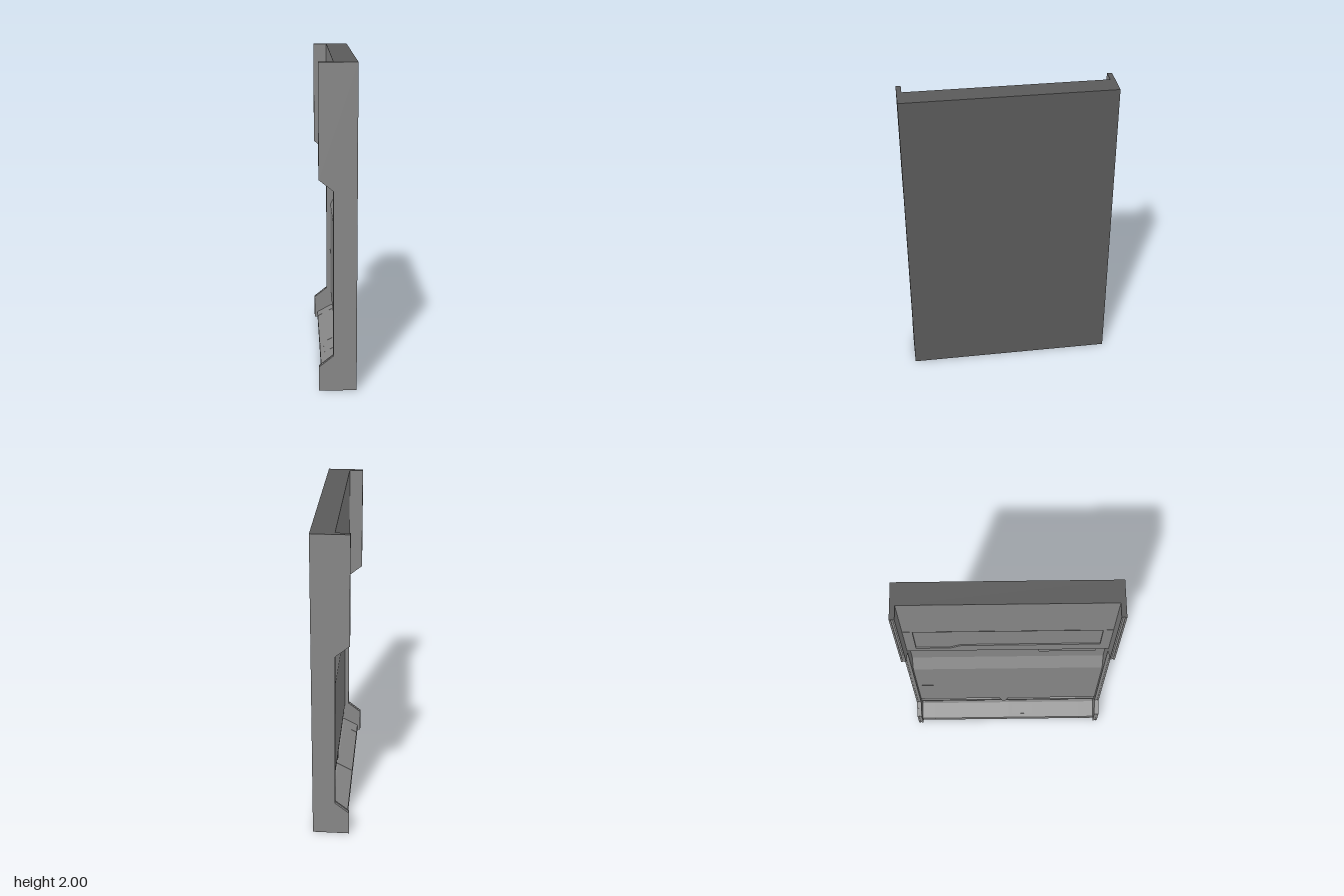
import * as THREE from 'three';

const BACK = 0.114, HALF = 0.661, INNER = 0.63;
const SKIN = 0.002, CORE = BACK - SKIN, TOP = 2 - SKIN;
const FRONT = -0.115, WAIST = -0.028, GROOVE = 0.003;

export function createModel() {
  const group = new THREE.Group();
  const panelGrey = new THREE.MeshStandardMaterial({ color: 0x878787, flatShading: true });
  const shellGrey = new THREE.MeshStandardMaterial({ color: 0x5b5b5b, flatShading: true });

  const vectors = (points) => points.map(([a, b]) => new THREE.Vector2(a, b));
  const shapeOf = (points) => new THREE.Shape(vectors(points));
  const extrude = (shape, depth) => new THREE.ExtrudeGeometry(shape, { depth, bevelEnabled: false });

  function add(name, geometry, material = panelGrey) {
    const mesh = new THREE.Mesh(geometry, material);
    mesh.name = name;
    group.add(mesh);
  }

  // Side profile (x, y) swept along z
  function sweep(name, points, z0, z1) {
    add(name, extrude(shapeOf(points), z1 - z0).translate(0, 0, z0));
  }

  // Face outline (z, y) raised from x toward the room (-x)
  function plate(name, shape, x, thickness) {
    add(name, extrude(shape, thickness).rotateY(-Math.PI / 2).translate(x, 0, 0));
  }

  // Dark end slab: plan outline with both grooved cheeks and a set-back middle
  function slab(name, middleX, y) {
    const half = [[BACK, HALF], [FRONT, HALF], [FRONT, 0.65], [FRONT + GROOVE, 0.65],
      [FRONT + GROOVE, 0.64], [FRONT, 0.64], [FRONT, INNER], [middleX, INNER]];
    const mirrored = half.map(([x, z]) => [x, -z]).reverse();
    add(name, extrude(shapeOf([...half, ...mirrored]), SKIN).rotateX(-Math.PI / 2).translate(0, y, 0), shellGrey);
  }

  // Dark outer shell: back sheet, top and bottom
  add('backSheet', new THREE.BoxGeometry(SKIN, TOP - SKIN, 2 * HALF).translate(BACK - SKIN / 2, 1, 0), shellGrey);
  slab('topSlab', WAIST, TOP);
  slab('bottomSlab', -0.095, 0);

  // Main wall: head board, waist recess, sloped sill, lower panel and toe channel
  sweep('wallBody', [
    [CORE, SKIN], [CORE, TOP], [WAIST, TOP], [WAIST, 1.6], [-0.02, 1.6], [-0.02, 1.28],
    [0.05, 1.224], [0.05, 0.952], [0, 0.856], [0, 0.216], [0.022, 0.205], [0.022, SKIN],
  ], -INNER, INNER);

  // End frames: cheeks with a shallow groove running along their edge
  const cheek = (inset) => {
    const f = FRONT + inset, w = WAIST + inset;
    return [[CORE, SKIN], [CORE, TOP], [f, TOP], [f, 1.32], [w, 1.25], [w, 0.225], [f, 0.155], [f, SKIN]];
  };
  for (const side of [-1, 1]) {
    for (const [a, b, inset] of [[INNER, 0.64, 0], [0.64, 0.65, GROOVE], [0.65, HALF, 0]]) {
      sweep(side > 0 ? 'leftFrame' : 'rightFrame', cheek(inset),
        Math.min(side * a, side * b), Math.max(side * a, side * b));
    }
  }

  // Overhead cover with a stepped opening
  const cover = shapeOf([[-INNER, 1.28], [INNER, 1.28], [INNER, 1.597], [-INNER, 1.597]]);
  cover.holes.push(new THREE.Path(vectors([
    [-0.57, 1.325], [-0.357, 1.325], [-0.29, 1.364], [0.57, 1.364], [0.57, 1.59], [-0.57, 1.59],
  ])));
  plate('overheadCover', cover, -0.02, 0.008);

  // Rounded access hatch in the waist recess
  const hatch = new THREE.Shape();
  const [l, r, b, t, c] = [0.2, 0.572, 1.055, 1.21, 0.012];
  hatch.moveTo(l + c, b).lineTo(r - c, b).quadraticCurveTo(r, b, r, b + c)
    .lineTo(r, t - c).quadraticCurveTo(r, t, r - c, t)
    .lineTo(l + c, t).quadraticCurveTo(l, t, l, t - c)
    .lineTo(l, b + c).quadraticCurveTo(l, b, l + c, b);
  plate('accessHatch', hatch, 0.05, 0.006);

  // Kick base: core plus sloped cover segments separated by seams
  const base = (drop) => [[0.03, SKIN], [0.03, 0.094 - drop], [0.005, 0.094 - drop],
    [-0.095 + drop, 0.04 - drop], [-0.095 + drop, SKIN]];
  sweep('baseCore', base(0.003), -INNER, INNER);
  const seams = [-INNER, -0.54, 0.005, 0.525, INNER];
  for (let i = 0; i < seams.length - 1; i++) {
    sweep('baseCover', base(0), seams[i] + (i ? 0.001 : 0), seams[i + 1] - (i < 3 ? 0.001 : 0));
  }

  // Flush floor hatch lying on the base slope
  sweep('floorHatch', [[-0.07, 0.05], [-0.07, 0.0545], [-0.008, 0.088], [-0.008, 0.08]], 0.03, 0.18);

  // Rail inside the toe channel
  sweep('toeRail', [[0.03, 0.135], [0.03, 0.165], [0.008, 0.16], [0.008, 0.14]], -INNER, INNER);

  // Small latch at the foot of the lower panel and a finger grip near its edge
  plate('panelLatch', shapeOf([[-0.06, 0.21], [-0.04, 0.15], [-0.02, 0.15], [0, 0.21]]), 0.022, 0.021);
  plate('fingerGrip', shapeOf([[-0.6, 0.52], [-0.52, 0.52], [-0.52, 0.528], [-0.6, 0.528]]), 0, 0.004);

  return group;
}
